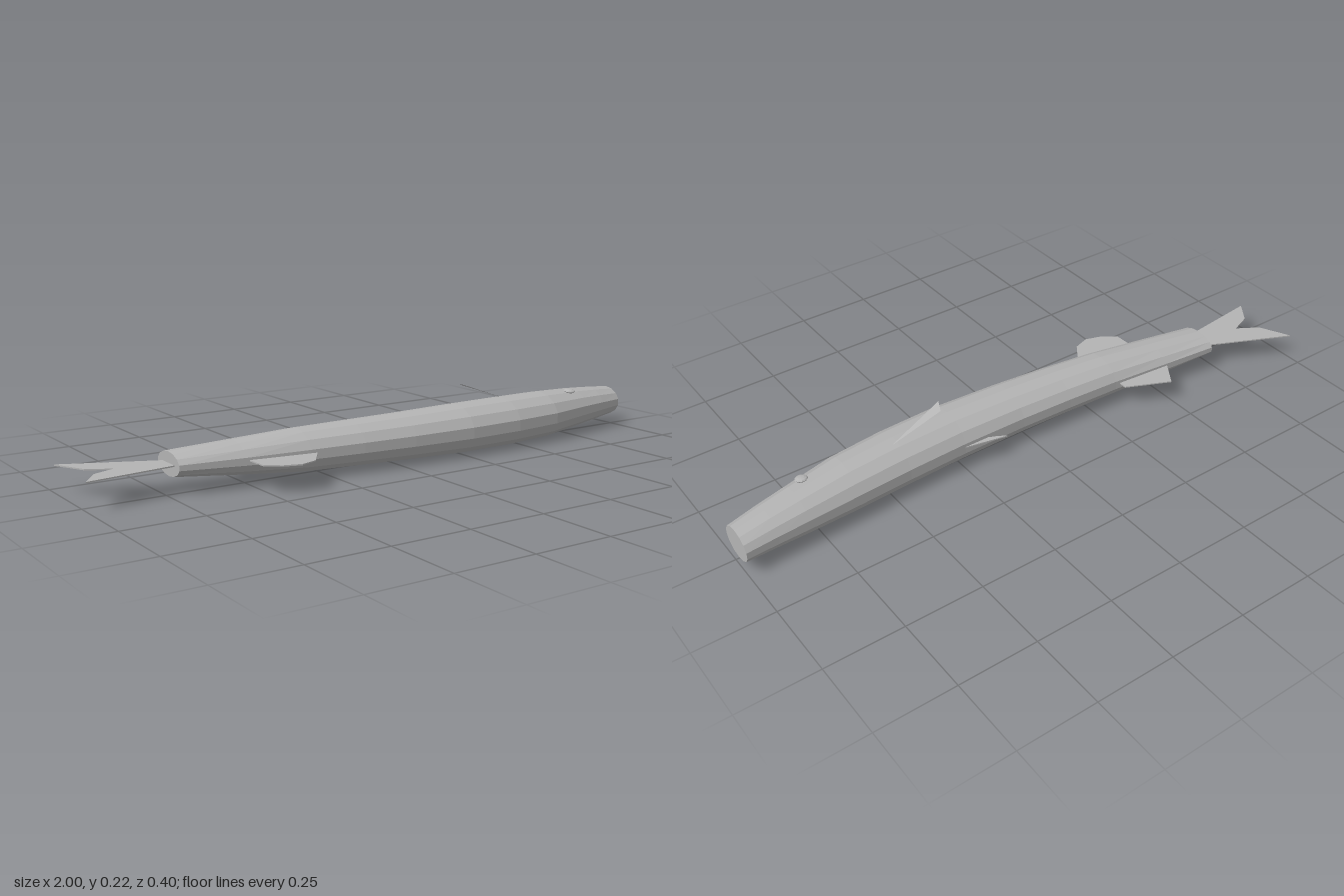
import * as THREE from 'three';

const skin = new THREE.MeshStandardMaterial({ color: 0xb4b4b4, side: THREE.DoubleSide });
skin.name = 'grey skin';

// body stations: x, low y, high y, back z, belly z
const stations = [
  [-0.725, 0.047, 0.12, -0.103, 0.04],
  [-0.53, 0.03, 0.134, -0.087, 0.072],
  [-0.33, 0.015, 0.148, -0.071, 0.102],
  [-0.15, 0.011, 0.153, -0.062, 0.122],
  [0.03, 0.007, 0.157, -0.056, 0.137],
  [0.25, 0.002, 0.162, -0.056, 0.147],
  [0.45, 0.001, 0.162, -0.063, 0.14],
  [0.63, 0.004, 0.159, -0.074, 0.122],
  [0.8, 0.016, 0.15, -0.084, 0.083],
  [0.9, 0.025, 0.142, -0.089, 0.061],
  [1.0, 0.034, 0.132, -0.095, 0.037],
];

function facet(geometry) {
  const g = geometry.index ? geometry.toNonIndexed() : geometry;
  g.computeVertexNormals();
  return g;
}

// faceted oval tube with a flat cap at both ends
function bodyGeometry(sides = 14) {
  const pos = [], index = [];
  for (const [x, y0, y1, z0, z1] of stations) {
    for (let i = 0; i < sides; i++) {
      const a = (i / sides) * Math.PI * 2;
      pos.push(x, (y0 + y1) / 2 + Math.cos(a) * (y1 - y0) / 2, (z0 + z1) / 2 + Math.sin(a) * (z1 - z0) / 2);
    }
  }
  const last = (stations.length - 1) * sides;
  for (let s = 0; s < last; s += sides) {
    for (let i = 0; i < sides; i++) {
      const j = (i + 1) % sides;
      const a = s + i, b = s + j, c = a + sides, d = b + sides;
      index.push(a, b, c, b, d, c);
    }
  }
  for (let i = 1; i < sides - 1; i++) {
    index.push(0, i + 1, i, last, last + i, last + i + 1);
  }
  const g = new THREE.BufferGeometry();
  g.setAttribute('position', new THREE.Float32BufferAttribute(pos, 3));
  g.setIndex(index);
  return facet(g);
}

// thin horizontal plate from an outline of [x, z]
function finGeometry(outline, y = 0.084, thick = 0.004) {
  const shape = new THREE.Shape(outline.map(([x, z]) => new THREE.Vector2(x, -z)));
  const g = new THREE.ExtrudeGeometry(shape, { depth: thick, bevelEnabled: false });
  return g.rotateX(-Math.PI / 2).translate(0, y - thick / 2, 0);
}

export function createModel() {
  const group = new THREE.Group();
  const add = (name, geometry) => {
    const mesh = new THREE.Mesh(geometry, skin);
    mesh.name = name;
    group.add(mesh);
    return mesh;
  };

  add('body', bodyGeometry());

  // forked tail, then the fins along the back and belly edges
  add('tailFin', finGeometry([[-1, -0.2], [-0.7, -0.06], [-0.7, 0.004], [-1, 0.04],
    [-0.95, -0.03], [-0.88, -0.057], [-0.95, -0.1]]));
  add('rearBackFin', finGeometry([[-0.54, -0.08], [-0.487, -0.162], [-0.345, -0.097], [-0.345, -0.05]]));
  add('bellyFin', finGeometry([[-0.52, 0.05], [-0.516, 0.147], [-0.47, 0.181], [-0.417, 0.198],
    [-0.364, 0.181], [-0.3, 0.09]]));
  add('backFin', finGeometry([[0.115, -0.082], [0.14, -0.066], [0.2, -0.04], [0.27, -0.05]], 0.086));

  // raised side fin sweeping back toward the tail
  const side = new THREE.BufferGeometry().setFromPoints([
    new THREE.Vector3(0.47, 0.155, 0.011),
    new THREE.Vector3(0.30, 0.213, 0.002),
    new THREE.Vector3(0.283, 0.22, 0.04),
  ]);
  add('sideFin', facet(side));

  // flattened eye on the upper side
  const eye = add('eye', facet(new THREE.SphereGeometry(0.02, 10, 6)));
  eye.scale.y = 0.35;
  eye.position.set(0.755, 0.15, 0.04);
  eye.rotation.x = 0.15;

  return group;
}
